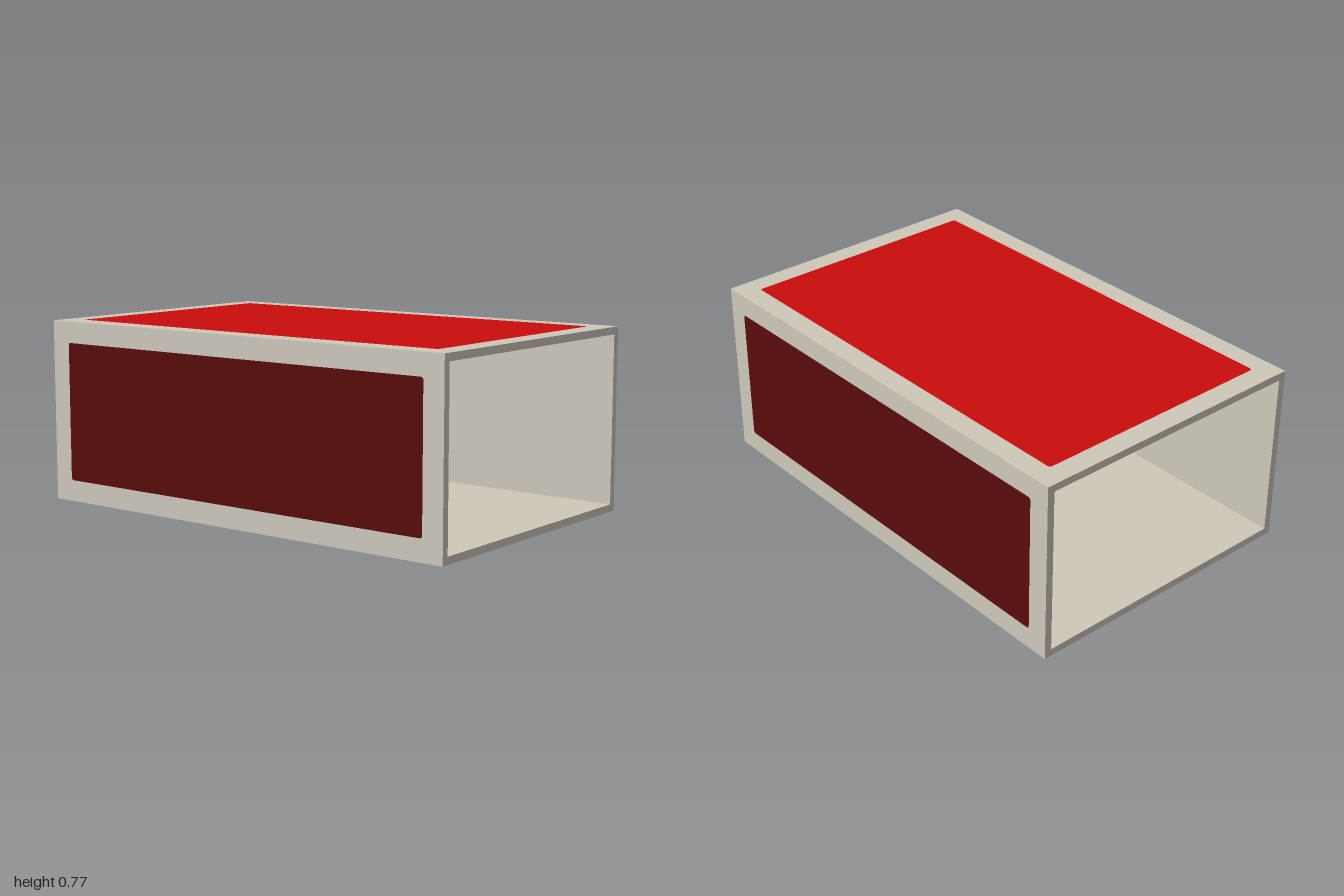
import * as THREE from 'three';

const W = 1.246, H = 0.766, L = 2, WALL = 0.031, MARGIN = 0.09, PROUD = 0.001;

// Rectangle outline with slightly rounded corners
function roundedRect(w, h, r) {
  const s = new THREE.Shape(), x = w / 2, y = h / 2;
  s.moveTo(-x + r, -y);
  s.lineTo(x - r, -y).quadraticCurveTo(x, -y, x, -y + r);
  s.lineTo(x, y - r).quadraticCurveTo(x, y, x - r, y);
  s.lineTo(-x + r, y).quadraticCurveTo(-x, y, -x, y - r);
  s.lineTo(-x, -y + r).quadraticCurveTo(-x, -y, -x + r, -y);
  return s;
}

function rectPoints(w, h) {
  return [[-w, -h], [w, -h], [w, h], [-w, h]].map(([x, y]) => new THREE.Vector2(x / 2, y / 2));
}

export function createModel() {
  const group = new THREE.Group();
  group.name = 'matchboxSleeve';
  const card = new THREE.MeshStandardMaterial({ name: 'beige card', color: 0xcfc9bb });
  const red = new THREE.MeshStandardMaterial({ name: 'red label', color: 0xca0d0c });
  const maroon = new THREE.MeshStandardMaterial({ name: 'dark striker', color: 0x5a0c0c });
  const midY = H / 2 + PROUD;

  // Open-ended rectangular tube
  const outline = new THREE.Shape(rectPoints(W, H));
  outline.holes.push(new THREE.Path(rectPoints(W - 2 * WALL, H - 2 * WALL)));
  const tube = new THREE.ExtrudeGeometry(outline, { depth: L, bevelEnabled: false });
  tube.translate(0, 0, -L / 2);
  const sleeve = new THREE.Mesh(tube, card);
  sleeve.name = 'sleeve';
  sleeve.position.y = midY;
  group.add(sleeve);

  // Printed panels lying just proud of the card
  function addPanel(name, w, h, material, place) {
    const panel = new THREE.Mesh(new THREE.ShapeGeometry(roundedRect(w, h, 0.012), 4), material);
    panel.name = name;
    place(panel);
    group.add(panel);
  }
  for (const s of [1, -1]) {
    addPanel(s > 0 ? 'topLabel' : 'bottomLabel', W - 2 * MARGIN, L - 2 * MARGIN, red, (p) => {
      p.rotation.x = -s * Math.PI / 2;
      p.position.y = midY + s * (H / 2 + PROUD);
    });
    addPanel(s > 0 ? 'leftStriker' : 'rightStriker', L - 2 * MARGIN, H - 2 * MARGIN, maroon, (p) => {
      p.rotation.y = s * Math.PI / 2;
      p.position.set(s * (W / 2 + PROUD), midY, 0);
    });
  }
  return group;
}
